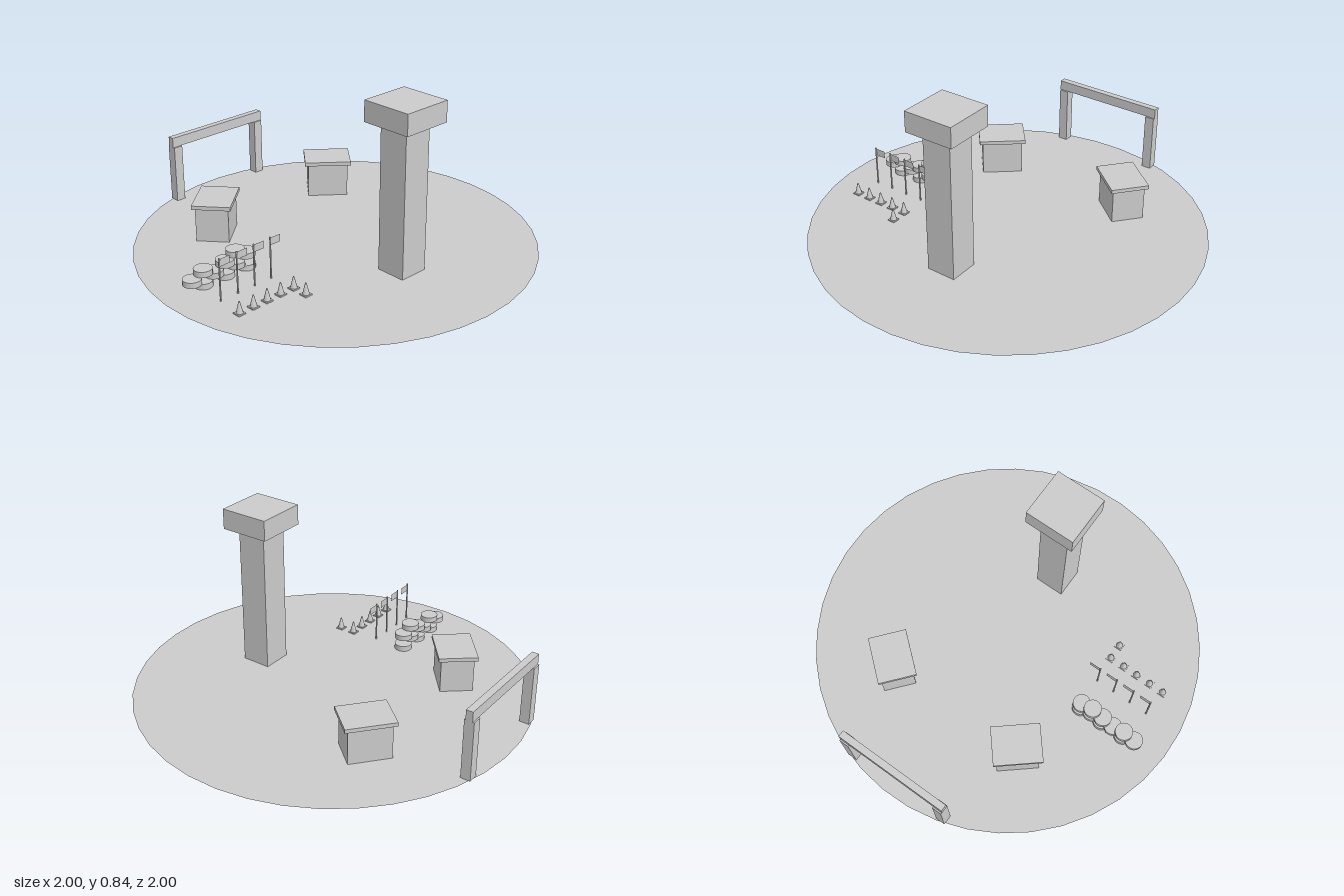
import * as THREE from 'three';

const TURN = Math.PI / 6; // shared heading of most props
const material = new THREE.MeshStandardMaterial({ color: 0xcccccc });
const thinMaterial = new THREE.MeshStandardMaterial({ color: 0xcccccc, side: THREE.DoubleSide });

function group(name, parent, x, z, turn = 0) {
  const g = new THREE.Group();
  g.name = name;
  g.position.set(x, 0, z);
  g.rotation.y = turn;
  parent.add(g);
  return g;
}

// Adds a mesh whose underside sits at height y
function add(parent, name, geometry, height, x, y, z, mat = material) {
  const mesh = new THREE.Mesh(geometry, mat);
  mesh.name = name;
  mesh.position.set(x, y + height / 2, z);
  parent.add(mesh);
  return mesh;
}

function box(parent, name, w, h, d, x, y, z) {
  return add(parent, name, new THREE.BoxGeometry(w, h, d), h, x, y, z);
}

function cylinder(parent, name, rTop, rBottom, h, sides, x, y, z) {
  return add(parent, name, new THREE.CylinderGeometry(rTop, rBottom, h, sides), h, x, y, z);
}

// Small hut with an overhanging flat roof
function hut(parent, x, z, turn) {
  const g = group('hut', parent, x, z, turn);
  box(g, 'hutWalls', 0.21, 0.178, 0.165, 0, 0, 0);
  box(g, 'hutRoof', 0.245, 0.02, 0.195, 0, 0.178, 0);
}

export function createModel() {
  const model = new THREE.Group();
  model.name = 'trainingGround';

  // Flat round ground
  const ground = new THREE.Mesh(new THREE.CircleGeometry(1, 40), thinMaterial);
  ground.name = 'ground';
  ground.rotation.x = -Math.PI / 2;
  model.add(ground);

  // Tower with a wide cabin
  const tower = group('tower', model, 0.22, 0.39, TURN);
  box(tower, 'towerShaft', 0.154, 0.74, 0.154, 0, 0, 0);
  box(tower, 'towerCabin', 0.26, 0.105, 0.26, 0, 0.74, 0);

  // Two huts
  hut(model, 0.1, -0.59, -Math.PI / 18);
  hut(model, -0.565, -0.21, (7 * Math.PI) / 18);

  // Gate at the rim
  const gate = group('gate', model, -0.468, -0.808, TURN);
  for (const side of [-1, 1]) box(gate, 'gatePost', 0.05, 0.305, 0.05, side * 0.275, 0, 0);
  box(gate, 'gateBeam', 0.605, 0.053, 0.035, 0, 0.305, 0);

  // Staggered wall of ten stacked tyres
  const tyres = group('tyreWall', model, -0.485, 0.187, TURN);
  for (let i = 0; i < 10; i++) {
    const row = Math.floor(i / 3);
    const x = -0.127 * (i % 3) - (row % 2) * 0.0635;
    cylinder(tyres, 'tyre', 0.045, 0.045, 0.029, 20, x, row * 0.031, 0);
  }

  // Row of flags
  const flags = group('flagRow', model, -0.65, 0.475, TURN);
  for (let i = 0; i < 4; i++) {
    const x = i * 0.099;
    cylinder(flags, 'flagPole', 0.004, 0.004, 0.214, 8, x, 0, 0);
    add(flags, 'flag', new THREE.PlaneGeometry(0.06, 0.038), 0.038, x + 0.03, 0.172, 0, thinMaterial);
  }

  // Marker cones: a row of five and one set apart
  const cones = [[-0.27, 0.515]];
  for (let i = 0; i < 5; i++) cones.push([-0.587 + i * 0.069, 0.603 - i * 0.0395]);
  for (const [x, z] of cones) {
    const g = group('markerCone', model, x, z, TURN);
    box(g, 'coneBase', 0.04, 0.006, 0.04, 0, 0, 0);
    cylinder(g, 'coneBody', 0.003, 0.017, 0.057, 12, 0, 0.006, 0);
  }

  return model;
}
